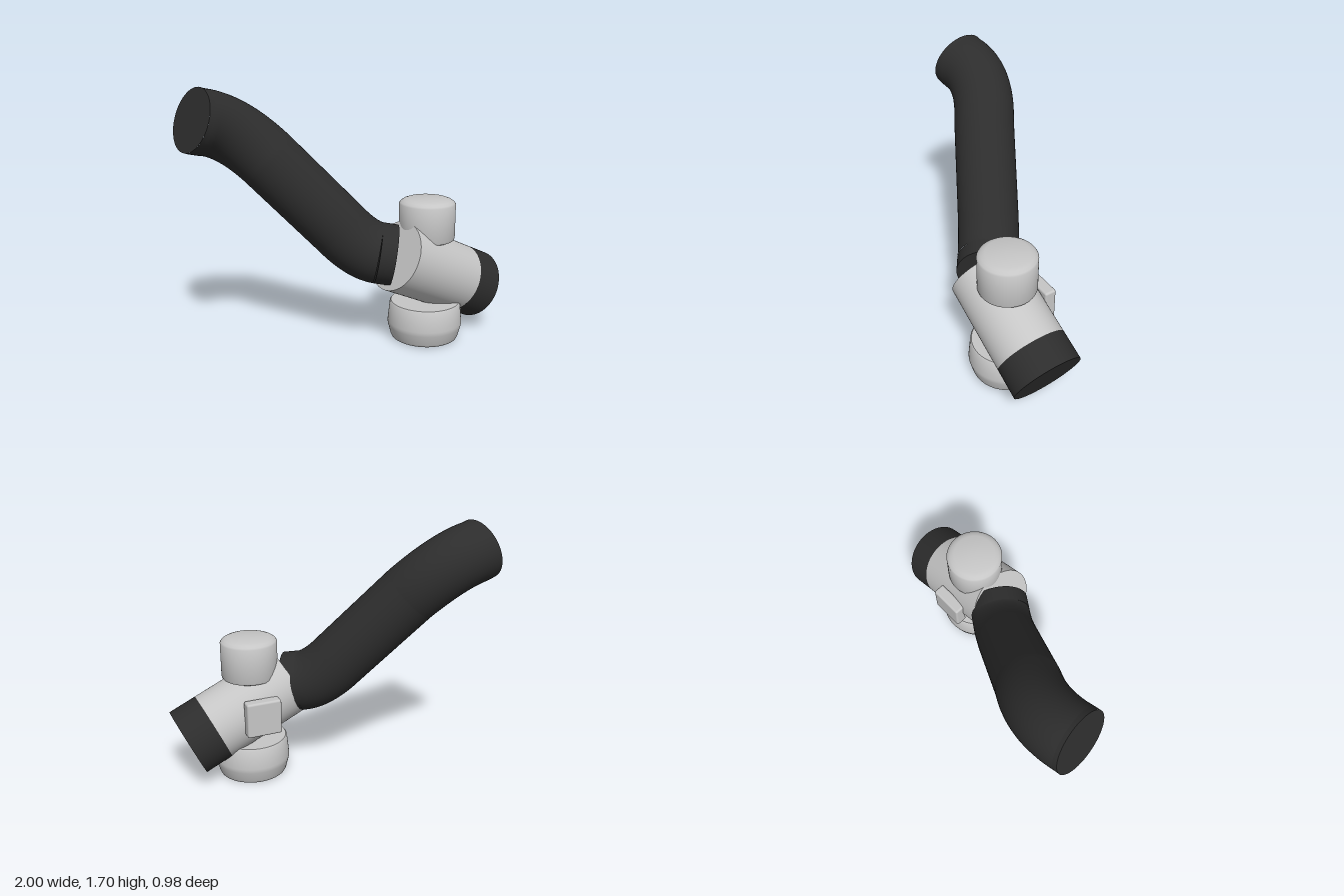
import * as THREE from 'three';
import { toCreasedNormals } from 'three/addons/utils/BufferGeometryUtils.js';
import { RoundedBoxGeometry } from 'three/addons/geometries/RoundedBoxGeometry.js';

const V = (x, y, z) => new THREE.Vector3(x, y, z);

export function createModel() {
  const model = new THREE.Group();
  model.name = 'valve';
  const grey = new THREE.MeshStandardMaterial({ color: 0xc6c6c6 });
  grey.name = 'light grey';
  const black = new THREE.MeshStandardMaterial({ color: 0x2d2d2d });
  black.name = 'black rubber';

  const add = (name, geometry, material) => {
    const mesh = new THREE.Mesh(geometry, material);
    mesh.name = name;
    model.add(mesh);
    return mesh;
  };

  // Solid cylinder running between two points
  const rod = (name, a, b, radius, material) => {
    const geometry = new THREE.CylinderGeometry(radius, radius, a.distanceTo(b), 64);
    const mesh = add(name, geometry, material);
    mesh.position.copy(a).lerp(b, 0.5);
    mesh.quaternion.setFromUnitVectors(V(0, 1, 0), b.clone().sub(a).normalize());
  };

  // Turned part standing upright below and above the body
  const turned = (name, profile) => {
    const points = profile.map(([r, y]) => new THREE.Vector2(r, y));
    const geometry = toCreasedNormals(new THREE.LatheGeometry(points, 64), 0.6);
    add(name, geometry, grey).position.set(0.46, 0, 0.243);
  };

  // Tilted body and its black end cap
  const bodyStart = V(0.2, 0.611, 0.243);
  const bodyEnd = V(0.725, 0.366, 0.243);
  rod('body', bodyStart, bodyEnd, 0.232, grey);
  rod('endCap', bodyEnd, V(0.899, 0.285, 0.243), 0.232, black);

  // Knob on top and foot underneath
  turned('topKnob', [
    [0, 0.68], [0.165, 0.68], [0.18, 0.687], [0.185, 0.7], [0.185, 0.925],
    [0.178, 0.936], [0.16, 0.948], [0.135, 0.957], [0, 0.958],
  ]);
  turned('foot', [
    [0, 0], [0.212, 0], [0.222, 0.006], [0.228, 0.018], [0.246, 0.085],
    [0.249, 0.1], [0.249, 0.115], [0.236, 0.245], [0.228, 0.255], [0, 0.255],
  ]);

  // Small plate on the back
  add('backPlate', new RoundedBoxGeometry(0.23, 0.232, 0.08, 3, 0.014), grey)
    .position.set(0.46, 0.489, -0.006);

  // Bent hose: straight runs joined by two soft bends
  const tip = V(-0.932, 1.511, -0.27);
  const bendA = [V(-0.89, 1.497, -0.275), V(-0.67, 1.47, -0.325), V(-0.48, 1.25, -0.19)];
  const bendB = [V(-0.09, 0.795, 0.03), V(0.03, 0.645, 0.1), V(0.12, 0.625, 0.165)];
  const hoseEnd = V(0.205, 0.609, 0.222);
  const path = new THREE.CurvePath();
  path.add(new THREE.LineCurve3(tip, bendA[0]));
  path.add(new THREE.QuadraticBezierCurve3(...bendA));
  path.add(new THREE.LineCurve3(bendA[2], bendB[0]));
  path.add(new THREE.QuadraticBezierCurve3(...bendB));
  add('hose', new THREE.TubeGeometry(path, 90, 0.2, 48), black);

  // Flat tip of the hose
  const disc = add('hoseTip', new THREE.CircleGeometry(0.2, 48), black);
  disc.position.copy(tip);
  disc.quaternion.setFromUnitVectors(V(0, 0, 1), path.getTangentAt(0).negate());

  // Collar where the hose enters the body
  rod('hoseCollar', bendB[2], hoseEnd, 0.2, black);

  return model;
}
